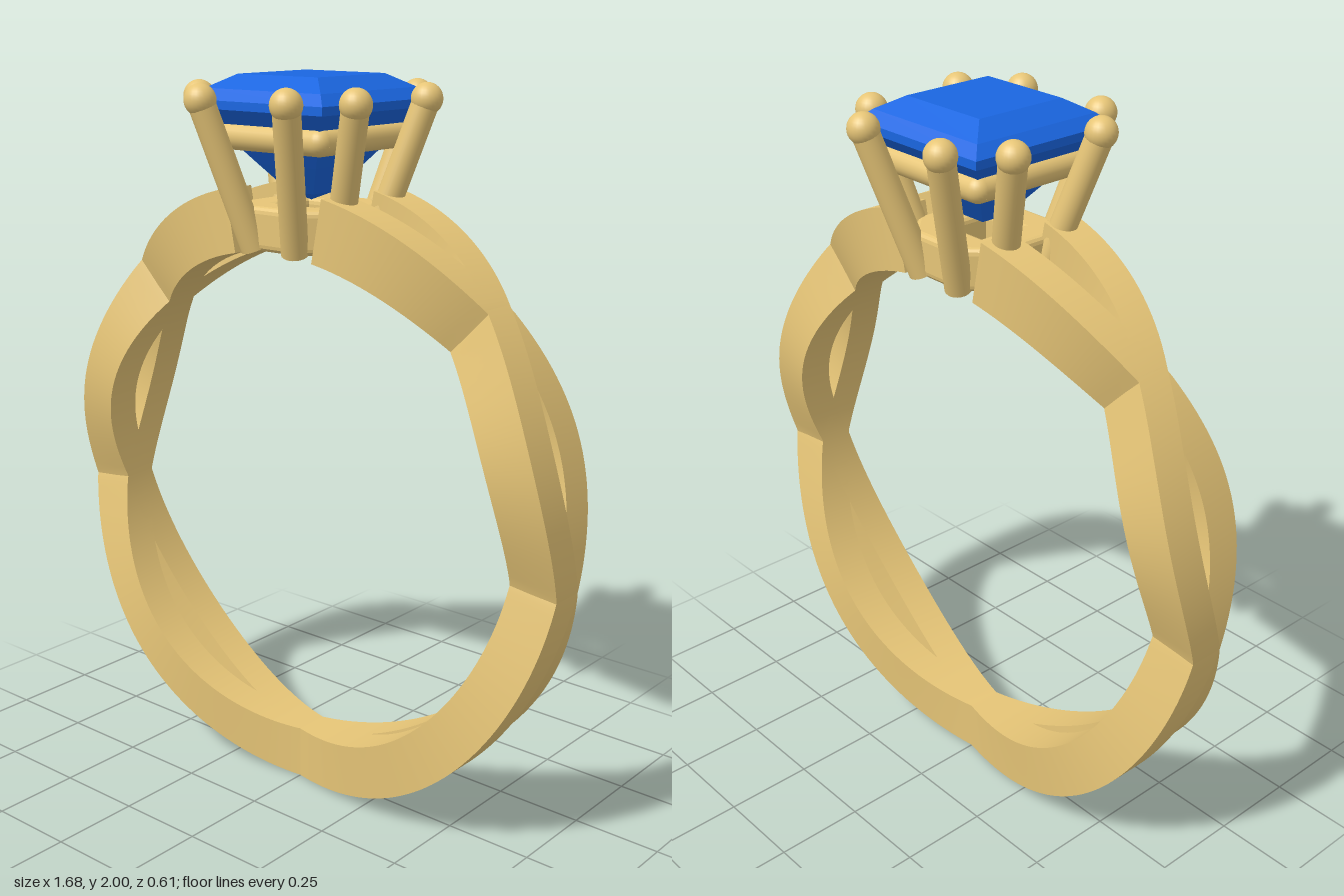
import * as THREE from 'three';
import { toCreasedNormals } from 'three/addons/utils/BufferGeometryUtils.js';

const gold = new THREE.MeshStandardMaterial({ color: 0xe6c577 });
const blue = new THREE.MeshStandardMaterial({ color: 0x1a66e0, flatShading: true });
const CENTRE_Y = 0.85, INNER_R = 0.7, WIDTH = 0.1;
const NODES = [45, 96, 180].map(THREE.MathUtils.degToRad); // where the strands cross

// Sideways offset of a strand at an angle measured from the top of the band
function weave(a) {
  if (a < NODES[0]) return 0.11 * (1 - Math.pow(a / NODES[0], 2.5));
  if (a < NODES[1]) return -0.08 * Math.sin(Math.PI * (a - NODES[0]) / (NODES[1] - NODES[0]));
  return 0.08 * Math.sin(Math.PI * (a - NODES[1]) / (NODES[2] - NODES[1]));
}

// Rectangular section swept down one half of the band
function strandGeometry(sideX, sideZ) {
  const pos = [], idx = [], n = 96, start = 0.19;
  const tri = (a, b, c) => (sideX > 0 ? idx.push(a, b, c) : idx.push(a, c, b));
  for (let i = 0; i <= n; i++) {
    const a = start + (Math.PI - start) * i / n;
    const z = sideZ * weave(a), c = Math.cos(a);
    const inset = a > NODES[0] ? 0.022 * Math.max(0, -sideX * z / 0.08) : 0;
    const outer = 0.838 + (c > 0 ? 0.034 : 0.012) * c * c - inset;
    const lo = z - WIDTH / 2, hi = z + WIDTH / 2;
    for (const [r, w] of [[INNER_R, lo], [outer, lo], [outer, hi], [INNER_R, hi]]) {
      pos.push(sideX * r * Math.sin(a), CENTRE_Y + r * c, w);
    }
    if (i === n) break;
    for (let k = 0; k < 4; k++) {
      const p = i * 4 + k, q = i * 4 + (k + 1) % 4;
      tri(p, q, p + 4);
      tri(q, q + 4, p + 4);
    }
  }
  const e = n * 4;
  tri(0, 2, 1); tri(0, 3, 2);
  tri(e, e + 1, e + 2); tri(e, e + 2, e + 3);
  const g = new THREE.BufferGeometry();
  g.setAttribute('position', new THREE.Float32BufferAttribute(pos, 3));
  g.setIndex(idx);
  return toCreasedNormals(g, 0.6);
}

function add(parent, name, geometry, material) {
  const mesh = new THREE.Mesh(geometry, material);
  mesh.name = name;
  parent.add(mesh);
  return mesh;
}

// Round bar between two points
function rod(parent, name, from, to, radius) {
  const dir = to.clone().sub(from);
  const mesh = add(parent, name, new THREE.CylinderGeometry(radius, radius, dir.length(), 24), gold);
  mesh.position.copy(from).add(to).multiplyScalar(0.5);
  mesh.quaternion.setFromUnitVectors(new THREE.Vector3(0, 1, 0), dir.normalize());
}

function ball(parent, name, at, radius) {
  add(parent, name, new THREE.SphereGeometry(radius, 24, 16), gold).position.copy(at);
}

export function createModel() {
  const model = new THREE.Group();
  model.name = 'ring';

  // Woven band
  const band = new THREE.Group();
  band.name = 'band';
  model.add(band);
  for (const sx of [1, -1]) for (const sz of [1, -1]) {
    add(band, 'strand', strandGeometry(sx, sz), gold);
  }

  // Stone holder
  const setting = new THREE.Group();
  setting.name = 'setting';
  model.add(setting);

  // Base plate with cut corners and a square hole
  const h = 0.15, c = 0.08;
  const plate = new THREE.Shape([[h, -c], [h, c], [c, h], [-c, h], [-h, c], [-h, -c], [-c, -h], [c, -h]]
    .map(([x, y]) => new THREE.Vector2(x, y)));
  const o = 0.08;
  plate.holes.push(new THREE.Path([[-o, -o], [-o, o], [o, o], [o, -o]]
    .map(([x, y]) => new THREE.Vector2(x, y))));
  const baseGeo = new THREE.ExtrudeGeometry(plate, {
    depth: 0.08, bevelEnabled: true, bevelThickness: 0.018, bevelSize: 0.015, bevelSegments: 3,
  });
  baseGeo.rotateX(-Math.PI / 2).translate(0, 1.57, 0);
  add(setting, 'settingBase', baseGeo, gold);

  // Four sides, each with two prongs and a rail
  for (let i = 0; i < 4; i++) {
    const side = new THREE.Group();
    side.name = 'settingSide';
    side.rotation.y = i * Math.PI / 2;
    setting.add(side);
    for (const s of [1, -1]) {
      const tip = new THREE.Vector3(s * 0.145, 1.94, 0.265);
      rod(side, 'prong', new THREE.Vector3(s * 0.07, 1.555, 0.148), tip, 0.036);
      ball(side, 'prongTip', tip, 0.042);
    }
    const a = new THREE.Vector3(-0.17, 1.845, 0.17), b = new THREE.Vector3(0.17, 1.845, 0.17);
    rod(side, 'rail', a, b, 0.035);
    ball(side, 'railCorner', a, 0.035);
  }

  // Square-cut stone: pavilion, girdle, crown and table
  const profile = [[0, 1.675], [0.04, 1.695], [0.1, 1.77], [0.17, 1.86], [0.225, 1.915],
    [0.225, 1.937], [0.195, 1.965], [0.135, 2], [0, 2]];
  const stone = new THREE.LatheGeometry(
    profile.map(([r, y]) => new THREE.Vector2(r * Math.SQRT2, y)), 4, Math.PI / 4);
  add(model, 'stone', stone, blue);

  return model;
}
